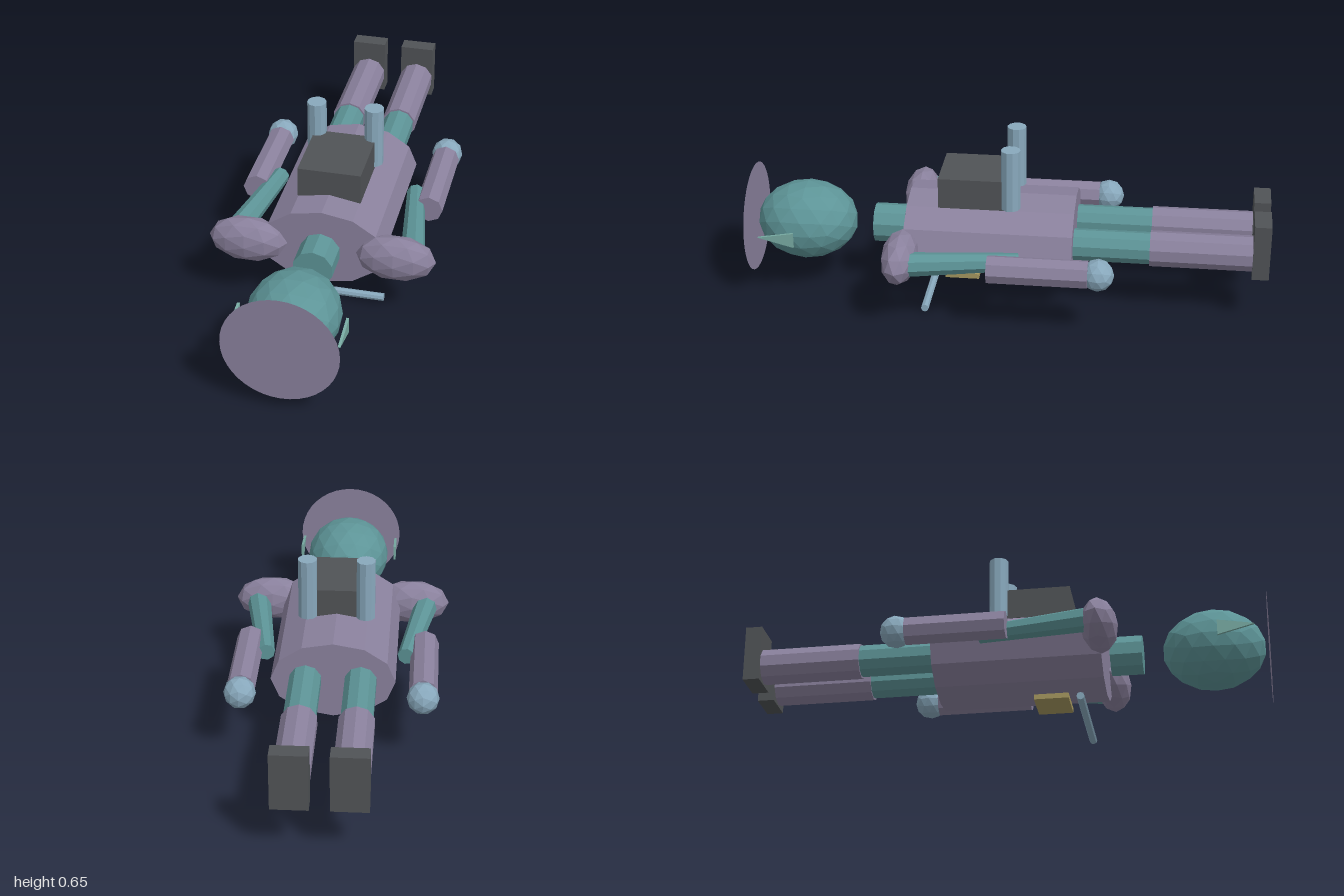
import * as THREE from 'three';

const mat = (color) => new THREE.MeshStandardMaterial({ color, flatShading: true });

export function createModel() {
  const model = new THREE.Group();
  model.name = 'lyingFigure';
  const armor = mat(0x8a819d), joint = mat(0x5d9497), dark = mat(0x505356);
  const metal = mat(0x88a8bc), earMat = mat(0x78aba3), gold = mat(0xa5975f);
  const Y = 0.266; // height of the body axis

  const add = (name, geometry, material, x = 0, y = Y, z = 0) => {
    const mesh = new THREE.Mesh(geometry, material);
    mesh.name = name;
    mesh.position.set(x, y, z);
    model.add(mesh);
    return mesh;
  };
  // Cylinder lying along z, from z0 to z1
  const lying = (name, material, x, z0, z1, r, sides = 10) =>
    add(name, new THREE.CylinderGeometry(r, r, z1 - z0, sides).rotateX(Math.PI / 2), material, x, Y, (z0 + z1) / 2);
  // Faceted ellipsoid
  const ball = (name, material, x, z, rx, ry, rz, detail) =>
    add(name, new THREE.IcosahedronGeometry(1, detail).scale(rx, ry, rz), material, x, Y, z);

  // Trunk, neck and head
  lying('torso', armor, 0, -0.26, 0.38, 1, 12).scale.set(0.235, 0.155, 1);
  lying('neck', joint, 0, 0.4, 0.522, 0.076);
  ball('head', joint, 0, 0.792, 0.17, 0.151, 0.196, 2);
  const disc = new THREE.MeshStandardMaterial({ color: 0x8a819d, flatShading: true, side: THREE.DoubleSide });
  add('haloDisc', new THREE.CircleGeometry(0.213, 40), disc, 0, 0.265, 0.999);

  // Pack and pipes on the back
  add('backpack', new THREE.BoxGeometry(0.24, 0.12, 0.28), dark, 0, 0.46, 0.118);

  // Chest plate and rod under the chest
  add('chestPlate', new THREE.BoxGeometry(0.15, 0.02, 0.132), gold, 0, 0.086, 0.176);
  add('rod', new THREE.CylinderGeometry(0.015, 0.015, 0.444, 8).rotateZ(Math.PI / 2), metal, 0, 0.016, 0.302);

  // Flat triangular ear, tip toward the top of the head
  const ear = new THREE.Shape([
    new THREE.Vector2(-0.81, 0.237), new THREE.Vector2(-0.81, 0.297), new THREE.Vector2(-0.948, 0.273),
  ]);
  const earGeo = new THREE.ExtrudeGeometry(ear, { depth: 0.01, bevelEnabled: false }).rotateY(Math.PI / 2);

  for (const [side, s] of [['left', 1], ['right', -1]]) {
    add(side + 'Ear', earGeo, earMat, s * 0.197 - 0.005, 0, 0);
    add(side + 'Pipe', new THREE.CylinderGeometry(0.037, 0.037, 0.24, 10), metal, s * 0.111, 0.53, -0.018);

    // Arm
    ball(side + 'Shoulder', armor, s * 0.281, 0.382, 0.15, 0.091, 0.07, 1);
    const a = new THREE.Vector3(s * 0.27, Y, -0.065), b = new THREE.Vector3(s * 0.34, Y, 0.36);
    const dir = b.clone().sub(a);
    const mid = a.clone().add(b).multiplyScalar(0.5);
    const arm = add(side + 'UpperArm', new THREE.CylinderGeometry(0.047, 0.034, dir.length(), 8), joint, mid.x, Y, mid.z);
    arm.quaternion.setFromUnitVectors(new THREE.Vector3(0, 1, 0), dir.normalize());
    lying(side + 'Forearm', armor, s * 0.34, -0.33, 0.045, 0.054, 8);
    ball(side + 'Hand', metal, s * 0.34, -0.367, 0.061, 0.061, 0.061, 1);

    // Leg
    lying(side + 'Thigh', joint, s * 0.104, -0.55, -0.24, 0.062);
    lying(side + 'Shin', armor, s * 0.104, -0.94, -0.55, 0.069);
    add(side + 'Foot', new THREE.BoxGeometry(0.136, 0.22, 0.064), dark, s * 0.104, 0.3, -0.968);
  }
  return model;
}
